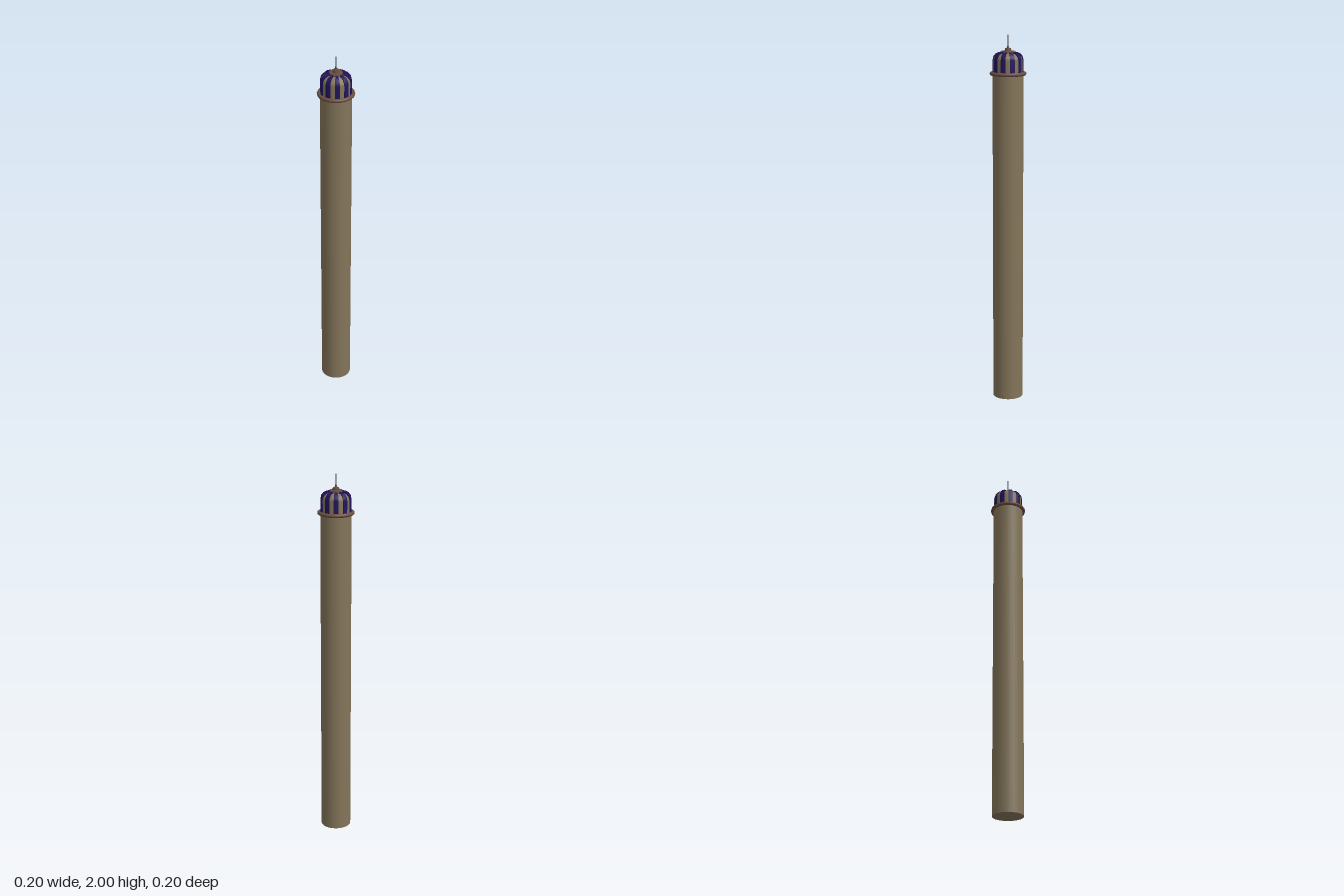
import * as THREE from 'three';

const mat = (color) => new THREE.MeshStandardMaterial({ color, side: THREE.DoubleSide });
const SEG = 20;
const STEP = (Math.PI * 2) / SEG;

export function createModel() {
  const group = new THREE.Group();
  const stone = mat(0x84755a);
  const blue = mat(0x20145c);
  const brown = mat(0x6c4f40);
  const metal = mat(0x4c4a4a);

  const add = (name, geometry, material, y = 0, parent = group) => {
    const mesh = new THREE.Mesh(geometry, material);
    mesh.name = name;
    mesh.position.y = y;
    parent.add(mesh);
    return mesh;
  };

  // Tall round shaft
  add('shaft', new THREE.CylinderGeometry(0.082, 0.082, 1.8, 32), stone, 0.9);

  // Collar ring between shaft and dome
  const collar = add('collar', new THREE.TorusGeometry(0.088, 0.01, 10, SEG), brown, 1.798);
  collar.rotation.x = Math.PI / 2;

  // Dome: raised blue panels alternating with recessed stone panels
  const dome = new THREE.Group();
  dome.name = 'dome';
  group.add(dome);
  const points = (list) => list.map(([r, y]) => new THREE.Vector2(r, y));
  const outer = points([[0.081, 1.795], [0.081, 1.872], [0.077, 1.889], [0.067, 1.902], [0.052, 1.909], [0.03, 1.911]]);
  const inner = points([[0.077, 1.795], [0.077, 1.87], [0.073, 1.885], [0.062, 1.897], [0.049, 1.903], [0.03, 1.905]]);
  const edge = new THREE.ShapeGeometry(new THREE.Shape([...outer, ...inner.slice().reverse()]));
  for (let i = 0; i < SEG; i++) {
    const raised = i % 2 === 0;
    const panel = new THREE.LatheGeometry(raised ? outer : inner, 2, i * STEP, STEP);
    add(raised ? 'bluePanel' : 'stonePanel', panel, raised ? blue : stone, 0, dome);
    // Side wall at each panel boundary
    const wall = add('panelEdge', edge, blue, 0, dome);
    wall.rotation.y = i * STEP - Math.PI / 2;
  }

  // Crown plate, knob and spire
  add('crownPlate', new THREE.CylinderGeometry(0.034, 0.036, 0.012, SEG), brown, 1.911);
  add('knob', new THREE.CylinderGeometry(0.016, 0.018, 0.014, SEG), brown, 1.923);
  add('spireBase', new THREE.CylinderGeometry(0.004, 0.008, 0.012, 12), metal, 1.935);
  add('spire', new THREE.CylinderGeometry(0.0025, 0.004, 0.07, 12), metal, 1.965);

  return group;
}
